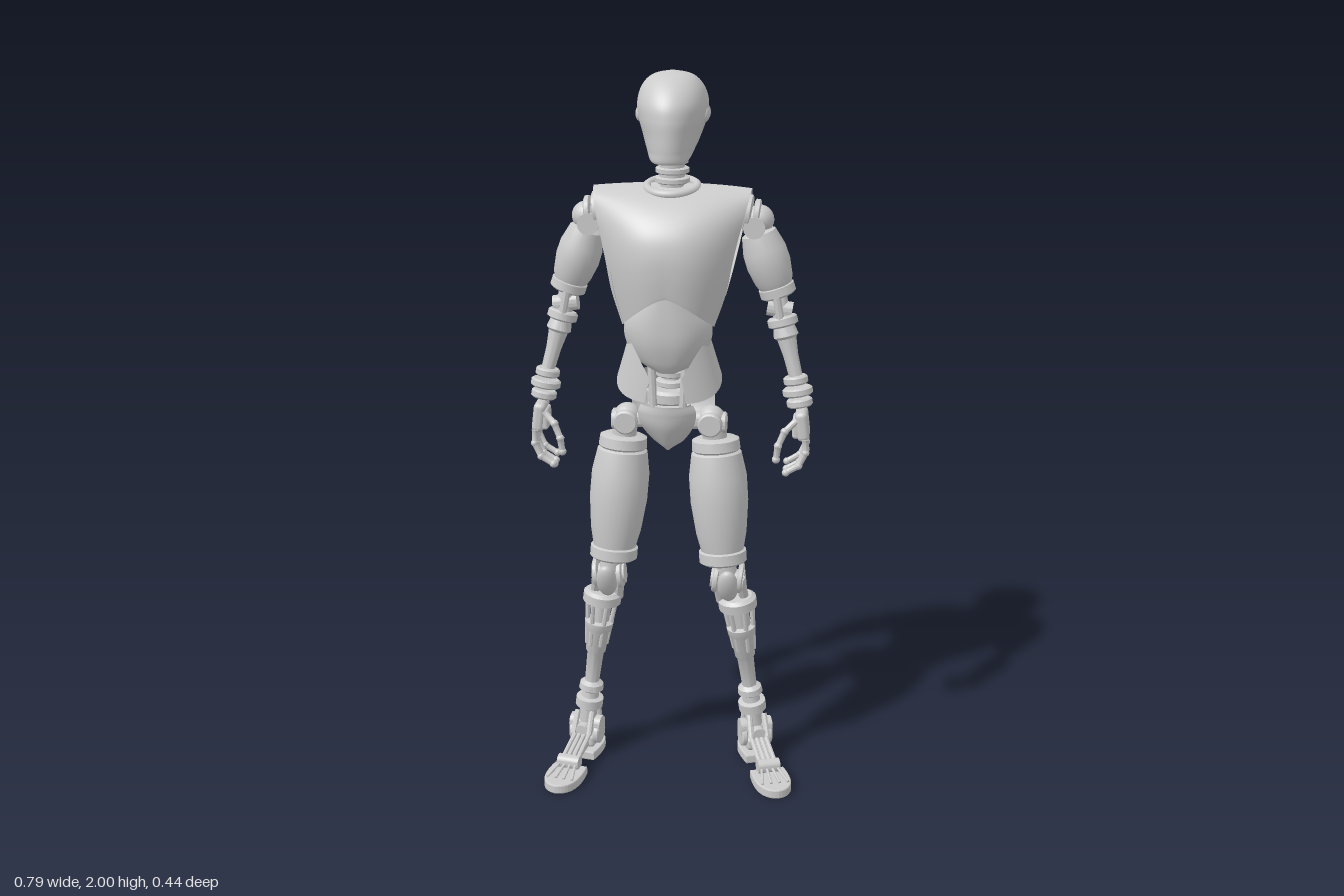
import * as THREE from 'three';
import { toCreasedNormals } from 'three/addons/utils/BufferGeometryUtils.js';
import { ParametricGeometry } from 'three/addons/geometries/ParametricGeometry.js';
import { RoundedBoxGeometry } from 'three/addons/geometries/RoundedBoxGeometry.js';

const solid = new THREE.MeshStandardMaterial({ color: 0xcccccc });
const shell = new THREE.MeshStandardMaterial({ color: 0xcccccc, side: THREE.DoubleSide });
const V = (x, y, z) => new THREE.Vector3(x, y, z);
const UP = V(0, 1, 0);

function add(parent, name, geo, pos = V(0, 0, 0), mat = solid) {
  const m = new THREE.Mesh(geo, mat);
  m.name = name;
  m.position.copy(pos);
  parent.add(m);
  return m;
}

// Turned part from a to b; profile rows are [fraction, radius]
function limb(parent, name, a, b, profile, seg = 20) {
  const len = a.distanceTo(b);
  const rows = [[profile[0][0], 0], ...profile, [profile.at(-1)[0], 0]];
  const geo = new THREE.LatheGeometry(rows.map(([t, r]) => new THREE.Vector2(r, t * len)), seg);
  const m = add(parent, name, toCreasedNormals(geo, 0.6), a);
  m.quaternion.setFromUnitVectors(UP, b.clone().sub(a).normalize());
  return m;
}
const rod = (p, name, a, b, r, seg = 8) => limb(p, name, a, b, [[0, r], [1, r]], seg);
const ring = (p, name, a, b, r) => limb(p, name, a, b, [[0, r * 0.86], [0.2, r], [0.8, r], [1, r * 0.86]]);
const ball = (p, name, c, r) => add(p, name, new THREE.SphereGeometry(r, 18, 12), c);

// Smooth interpolation through rows of numbers, v in 0..1
function spline(rows) {
  const n = rows.length - 1;
  return (v) => {
    const f = v * n, i = Math.min(Math.floor(f), n - 1), t = f - i;
    const [a, b, c, d] = [i - 1, i, i + 1, i + 2].map((k) => rows[Math.max(0, Math.min(n, k))]);
    return b.map((q, j) => q + 0.5 * t * (c[j] - a[j]
      + t * (2 * a[j] - 5 * q + 4 * c[j] - d[j] + t * (3 * (q - c[j]) + d[j] - a[j]))));
  };
}
const panel = (p, name, fn, nu = 40, nv = 28) =>
  add(p, name, new ParametricGeometry((u, v, o) => o.set(...fn(u, v)), nu, nv), V(0, 0, 0), shell);

function buildHead(g) {
  // rows: y, half width, front z, back z, middle z
  const rows = spline([[1.768, 0.002, 0.0, -0.01, -0.005], [1.77, 0.045, 0.025, -0.05, -0.02],
    [1.80, 0.064, 0.03, -0.14, -0.07], [1.84, 0.08, 0.031, -0.195, -0.11], [1.88, 0.092, 0.03, -0.217, -0.12],
    [1.92, 0.095, 0.02, -0.222, -0.12], [1.96, 0.082, -0.012, -0.2, -0.115],
    [1.988, 0.053, -0.055, -0.163, -0.11], [2.0, 0.001, -0.107, -0.109, -0.108]]);
  panel(g, 'head', (u, v) => {
    const [y, w, f, b, c] = rows(v), k = Math.cos(u * 2 * Math.PI);
    return [w * Math.sin(u * 2 * Math.PI), y, c + k * (k > 0 ? f - c : c - b)];
  }, 48, 36);
  for (const s of [-1, 1]) {
    const ear = add(g, 'earPad', new THREE.CapsuleGeometry(0.022, 0.04, 6, 14), V(s * 0.086, 1.885, -0.12));
    ear.rotation.x = Math.PI / 2;
    ear.scale.x = 0.6;
    rod(g, 'headPort', V(s * 0.04, 1.91, -0.19), V(s * 0.042, 1.91, -0.218), 0.013, 12);
  }
  // neck stack
  rod(g, 'neckCore', V(0, 1.62, -0.1), V(0, 1.83, -0.09), 0.034, 18);
  for (let i = 0; i < 5; i++) {
    const y = 1.675 + i * 0.026;
    ring(g, 'neckRing', V(0, y, -0.1), V(0, y + 0.018, -0.1), 0.05 - i * 0.002);
  }
  const collar = add(g, 'collar', new THREE.TorusGeometry(0.068, 0.012, 10, 36), V(0, 1.692, -0.095));
  collar.rotation.x = Math.PI / 2 + 0.15;
}

function buildTorso(g) {
  // shells: y, half width, middle z, side z
  const front = spline([[1.33, 0.125, 0.076, 0.0], [1.42, 0.155, 0.085, -0.01], [1.5, 0.17, 0.085, -0.01],
    [1.57, 0.185, 0.07, -0.02], [1.63, 0.2, 0.032, -0.035], [1.675, 0.21, -0.025, -0.06], [1.7, 0.215, -0.1, -0.1]]);
  const back = spline([[1.4, 0.15, -0.15, -0.07], [1.46, 0.165, -0.18, -0.1], [1.53, 0.18, -0.207, -0.14],
    [1.6, 0.195, -0.22, -0.16], [1.655, 0.21, -0.203, -0.15], [1.69, 0.215, -0.155, -0.125], [1.7, 0.215, -0.1, -0.1]]);
  const plate = (rows, lift, groove) => (u, v) => {
    const [y, w, zm, zs] = rows(v), x = 2 * u - 1, e = Math.abs(x);
    const edge = lift * (1 - e ** 1.5) * (1 - v) ** 2;
    const dent = groove * Math.exp(-((x / 0.15) ** 2)) * Math.sin(Math.PI * v);
    return [w * x, y + edge - 0.01 * e * e * v, zs + (zm - zs) * (1 - e ** 2.6) + dent];
  };
  panel(g, 'chestShell', plate(front, 0.09, 0));
  panel(g, 'backShell', plate(back, -0.045, 0.018));
  const belly = spline([[1.203, 0.02, 0.035, 0.03], [1.235, 0.085, 0.052, 0.0], [1.29, 0.115, 0.068, 0.0],
    [1.35, 0.118, 0.072, 0.0], [1.43, 0.08, 0.07, 0.0]]);
  panel(g, 'abdomenPlate', plate(belly, 0, 0));
  // lower back wrap
  const waist = spline([[1.29, 0.105, 0.1], [1.34, 0.122, 0.13], [1.42, 0.145, 0.16], [1.48, 0.155, 0.172]]);
  panel(g, 'lowerBackShell', (u, v) => {
    const [y, w, d] = waist(v), a = Math.PI * u;
    return [w * Math.cos(a), y - 0.03 * Math.sin(a) * (1 - v), 0.01 - (d + 0.01) * Math.sin(a) ** 0.9];
  });
  // inner structure seen through the arm openings
  const core = add(g, 'ribCore', new THREE.SphereGeometry(1, 24, 16), V(0, 1.53, -0.07));
  core.scale.set(0.135, 0.15, 0.1);
  rod(g, 'shoulderBeam', V(-0.21, 1.62, -0.1), V(0.21, 1.62, -0.1), 0.03, 16);
  // spine
  rod(g, 'spineCore', V(0, 1.04, -0.07), V(0, 1.42, -0.08), 0.024, 14);
  for (let i = 0; i < 8; i++) {
    const y = 1.11 + i * 0.029;
    ring(g, 'vertebra', V(0, y, -0.075), V(0, y + 0.02, -0.075), 0.043);
  }
  for (const s of [-1, 1]) {
    rod(g, 'waistPiston', V(s * 0.04, 1.08, 0.0), V(s * 0.05, 1.3, 0.0), 0.011);
    // hip flap: curved panel hanging from the waist
    panel(g, 'hipFlap', (u, v) => {
      const a = 0.4 + u * 1.35, r = 0.145 - 0.033 * v;
      const lo = 1.13 + 0.055 * u * u, hi = 1.2 + 0.09 * Math.sin(Math.min(1, u * 1.6) * Math.PI / 2);
      return [s * r * Math.sin(a), lo + (hi - lo) * v, -0.03 + 0.105 * Math.cos(a)];
    }, 20, 10);
  }
}

function buildPelvis(g) {
  rod(g, 'hipAxle', V(-0.12, 1.055, -0.03), V(0.12, 1.055, -0.03), 0.026, 16);
  ring(g, 'waistBase', V(0, 1.1, -0.055), V(0, 1.14, -0.055), 0.065);
  limb(g, 'pelvisCore', V(0, 1.1, -0.035), V(0, 1.0, -0.03), [[0, 0.06], [0.4, 0.055], [1, 0.025]]);
  const shield = spline([[0.977, 0.012, 0.01], [1.0, 0.042, 0.03], [1.05, 0.072, 0.058], [1.09, 0.08, 0.068], [1.115, 0.072, 0.07]]);
  panel(g, 'pelvisShield', (u, v) => {
    const [y, w, z] = shield(v), x = 2 * u - 1;
    return [w * x, y, z - 0.04 * x * x];
  }, 24, 16);
  // bowed rear plate with rounded outline
  panel(g, 'rearPlate', (u, v) => {
    const a = u * 2 * Math.PI, c = Math.cos(a), s = Math.sin(a), q = (t) => Math.sign(t) * Math.abs(t) ** 0.6;
    const x = (v + 0.001) * q(c), h = (v + 0.001) * q(s);
    return [0.118 * x, 1.095 + 0.092 * h, -0.173 + 0.05 * h * h + 0.012 * h + 0.045 * x * x];
  }, 48, 12);
  rod(g, 'rearMount', V(0, 1.09, -0.03), V(0, 1.09, -0.165), 0.03, 14);
}

function buildArm(g, s) {
  const P = (x, y, z) => V(s * x, y, z);
  // shoulder discs and ball
  ring(g, 'shoulderDisc', P(0.195, 1.625, -0.1), P(0.215, 1.622, -0.1), 0.05);
  ring(g, 'shoulderDisc', P(0.22, 1.62, -0.1), P(0.238, 1.618, -0.1), 0.042);
  ball(g, 'shoulderBall', P(0.236, 1.605, -0.105), 0.04);
  rod(g, 'shoulderAxle', P(0.225, 1.59, -0.155), P(0.225, 1.59, -0.055), 0.03, 16);
  limb(g, 'upperArm', P(0.232, 1.575, -0.105), P(0.293, 1.395, -0.105),
    [[0, 0.035], [0.04, 0.048], [0.3, 0.06], [0.5, 0.061], [0.75, 0.053], [0.84, 0.046], [0.85, 0.05], [0.97, 0.05], [1, 0.042]], 24);
  // elbow
  rod(g, 'elbowCore', P(0.29, 1.4, -0.105), P(0.305, 1.32, -0.095), 0.024, 14);
  rod(g, 'elbowAxle', P(0.262, 1.365, -0.1), P(0.33, 1.355, -0.1), 0.024, 16);
  for (const z of [-0.135, -0.065]) rod(g, 'elbowStrut', P(0.288, 1.4, z), P(0.303, 1.32, z), 0.011);
  limb(g, 'forearm', P(0.301, 1.34, -0.095), P(0.348, 1.165, -0.07),
    [[0, 0.036], [0.03, 0.042], [0.13, 0.042], [0.16, 0.03], [0.3, 0.035], [0.34, 0.027], [0.6, 0.021], [0.92, 0.019], [1, 0.03]]);
  for (let i = 0; i < 3; i++) {
    const y = 1.18 - i * 0.032, x = 0.343 + i * 0.006;
    ring(g, 'wristRing', P(x, y, -0.068), P(x + 0.004, y - 0.023, -0.066), [0.034, 0.042, 0.036][i]);
  }
  // hand
  const palm = add(g, 'palm', new RoundedBoxGeometry(0.034, 0.085, 0.085, 3, 0.014), P(0.367, 1.045, -0.06));
  palm.rotation.z = s * 0.12;
  add(g, 'palmPad', new RoundedBoxGeometry(0.02, 0.06, 0.065, 2, 0.008), P(0.35, 1.04, -0.055));
  const digit = (name, pts, r) => pts.slice(1).forEach((p, i) => {
    limb(g, name, pts[i], p, [[0, r], [0.15, r * 0.8], [0.85, r * 0.75], [1, r * 0.85]], 10);
    ball(g, name + 'Joint', p, r * 0.95);
  });
  for (let i = 0; i < 4; i++) {
    const z = -0.092 + i * 0.023, d = [0.018, 0.004, 0, 0.008][i];
    digit('finger', [P(0.376, 1.01, z), P(0.378, 0.965 + d, z + 0.004), P(0.36, 0.928 + d, z + 0.008), P(0.325, 0.908 + d, z + 0.011)], 0.011);
  }
  digit('thumb', [P(0.35, 1.06, -0.03), P(0.32, 1.035, -0.012), P(0.303, 0.995, -0.006), P(0.298, 0.955, -0.008)], 0.012);
}

function buildFoot(g, s, ankle, angle) {
  const f = new THREE.Group();
  f.name = 'foot';
  f.position.set(ankle.x, 0, ankle.z);
  f.rotation.y = s * angle;
  g.add(f);
  const slab = (name, pts, h) => {
    const shape = new THREE.Shape();
    shape.moveTo(-pts[0][0], pts[0][1]);
    shape.lineTo(...pts[0]);
    shape.bezierCurveTo(...pts[1], ...pts[2], ...pts[3]);
    shape.bezierCurveTo(-pts[2][0], pts[2][1], -pts[1][0], pts[1][1], -pts[0][0], pts[0][1]);
    const geo = new THREE.ExtrudeGeometry(shape, { depth: h - 0.008, bevelThickness: 0.004, bevelSize: 0.004, bevelSegments: 2, curveSegments: 14 });
    add(f, name, geo.rotateX(Math.PI / 2).translate(0, h - 0.004, 0));
  };
  slab('toePlate', [[0.046, 0.14], [0.054, 0.2], [0.048, 0.262], [0, 0.266]], 0.027);
  slab('heelPlate', [[0.036, 0.05], [0.048, -0.02], [0.044, -0.072], [0, -0.074]], 0.027);
  add(f, 'heelBlock', new RoundedBoxGeometry(0.06, 0.04, 0.085, 2, 0.012), V(0, 0.045, -0.015));
  // arch rods and toe hinge
  rod(f, 'toeHinge', V(-0.032, 0.042, 0.15), V(0.032, 0.042, 0.15), 0.02, 16);
  for (const k of [-1.5, -0.5, 0.5, 1.5]) {
    rod(f, 'archRod', V(k * 0.014, 0.085, 0.015), V(k * 0.015, 0.045, 0.15), 0.007);
    rod(f, 'toeTendon', V(k * 0.015, 0.042, 0.16), V(k * 0.025, 0.029, 0.23), 0.004);
  }
  rod(f, 'archBeam', V(0, 0.04, 0.03), V(0, 0.03, 0.14), 0.016, 12);
  // ankle joint
  rod(f, 'ankleAxle', V(-0.047, 0.095, 0), V(0.047, 0.095, 0), 0.026, 16);
  rod(f, 'anklePitchAxle', V(0, 0.085, -0.045), V(0, 0.085, 0.05), 0.022, 16);
  for (const k of [-1, 1]) {
    ring(f, 'ankleDisc', V(k * 0.028, 0.07, 0), V(k * 0.046, 0.07, 0), 0.034);
    rod(f, 'heelPiston', V(k * 0.028, 0.05, -0.045), V(k * 0.022, 0.18, -0.025), 0.009);
    rod(f, 'instepRod', V(k * 0.022, 0.14, 0.015), V(k * 0.024, 0.08, 0.05), 0.009);
  }
}

function buildLeg(g, s, ankle, footAngle) {
  const P = (x, y, z) => V(s * x, y, z);
  // hip
  ball(g, 'hipBall', P(0.117, 1.06, -0.03), 0.038);
  ring(g, 'hipDisc', P(0.117, 1.055, 0.0), P(0.117, 1.055, 0.025), 0.034);
  ring(g, 'hipSideDisc', P(0.142, 1.05, -0.03), P(0.16, 1.05, -0.03), 0.03);
  rod(g, 'hipPost', P(0.12, 1.05, -0.03), P(0.13, 0.98, -0.035), 0.034, 16);
  limb(g, 'thigh', P(0.128, 1.005, -0.035), P(0.156, 0.645, 0.0),
    [[0, 0.055], [0.015, 0.066], [0.09, 0.068], [0.105, 0.062], [0.12, 0.07], [0.3, 0.081], [0.5, 0.081], [0.75, 0.071],
      [0.89, 0.06], [0.9, 0.067], [0.98, 0.067], [1, 0.056]], 28);
  // knee
  rod(g, 'kneePost', P(0.156, 0.66, 0), P(0.168, 0.595, 0), 0.032, 14);
  rod(g, 'kneeAxle', P(0.122, 0.602, 0), P(0.214, 0.592, 0), 0.03, 18);
  for (const x of [0.128, 0.196]) {
    ring(g, 'kneeDisc', P(x, 0.6, 0), P(x + 0.016, 0.598, 0), 0.042);
    rod(g, 'kneeStrut', P(x + 0.008, 0.6, 0), P(x + 0.02, 0.51, -0.04), 0.014);
    rod(g, 'kneeRearRod', P(x + 0.008, 0.65, -0.035), P(x + 0.018, 0.52, -0.065), 0.008);
  }
  const cap = add(g, 'kneeCap', new THREE.SphereGeometry(1, 20, 14), P(0.172, 0.585, 0.028));
  cap.scale.set(0.03, 0.058, 0.022);
  cap.rotation.x = 0.45;
  // shin
  const top = P(0.192, 0.53, -0.038), at = (t) => top.clone().lerp(ankle, t);
  limb(g, 'shin', top, ankle,
    [[0, 0.044], [0.02, 0.055], [0.08, 0.055], [0.1, 0.03], [0.22, 0.028], [0.23, 0.042], [0.28, 0.04], [0.31, 0.033], [0.45, 0.029],
      [0.47, 0.024], [0.68, 0.021], [0.7, 0.034], [0.74, 0.036], [0.76, 0.024], [0.8, 0.026], [0.81, 0.04], [0.87, 0.04], [0.89, 0.026], [1, 0.026]]);
  for (let i = 0; i < 6; i++) {
    const a = (i * Math.PI) / 3, o = V(Math.cos(a), 0, Math.sin(a));
    rod(g, 'calfRod', at(0.05).addScaledVector(o, 0.042), at(0.4).addScaledVector(o, 0.028), 0.007);
  }
  buildFoot(g, s, ankle, footAngle);
}

export function createModel() {
  const model = new THREE.Group();
  const part = (name, build, ...args) => {
    const g = new THREE.Group();
    g.name = name;
    build(g, ...args);
    model.add(g);
  };
  part('headAndNeck', buildHead);
  part('torso', buildTorso);
  part('pelvis', buildPelvis);
  part('leftArm', buildArm, 1);
  part('rightArm', buildArm, -1);
  part('leftLeg', buildLeg, 1, V(0.248, 0.1, -0.085), 0.33);
  part('rightLeg', buildLeg, -1, V(-0.247, 0.1, -0.05), 0.2);
  return model;
}
